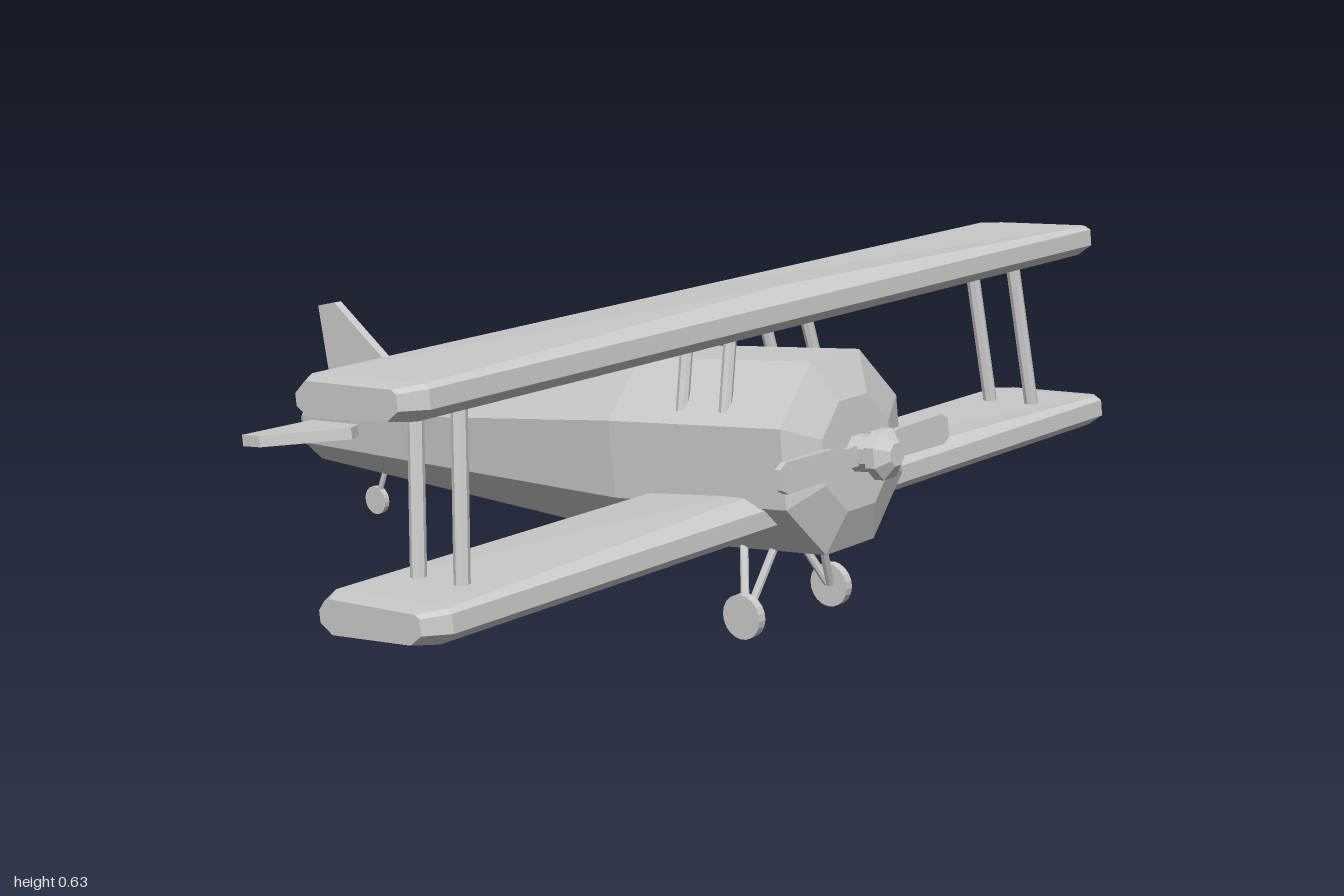
import * as THREE from 'three';

const material = new THREE.MeshStandardMaterial({
  color: 0xcccccc, flatShading: true, side: THREE.DoubleSide,
});

function add(parent, name, geometry, x = 0, y = 0, z = 0) {
  const mesh = new THREE.Mesh(geometry, material);
  mesh.name = name;
  mesh.position.set(x, y, z);
  parent.add(mesh);
  return mesh;
}

// Straight round bar between two points
function bar(parent, name, from, to, radius) {
  const a = new THREE.Vector3(...from), b = new THREE.Vector3(...to);
  const dir = b.clone().sub(a);
  const mesh = add(parent, name, new THREE.CylinderGeometry(radius, radius, dir.length(), 8));
  mesh.position.copy(a).add(b).multiplyScalar(0.5);
  mesh.quaternion.setFromUnitVectors(new THREE.Vector3(0, 1, 0), dir.normalize());
  return mesh;
}

// Eight-sided turned body along z; profile gives [flat half-width, z] from back to front
function octagonBody(profile) {
  const k = 1 / Math.cos(Math.PI / 8);
  const points = profile.map(([r, z]) => new THREE.Vector2(r * k, z));
  return new THREE.LatheGeometry(points, 8, Math.PI / 8).rotateX(Math.PI / 2);
}

// Flat plate from an outline, centred on its thickness
function plate(outline, thickness) {
  const shape = new THREE.Shape(outline.map(([x, y]) => new THREE.Vector2(x, y)));
  return new THREE.ExtrudeGeometry(shape, { depth: thickness, bevelEnabled: false })
    .translate(0, 0, -thickness / 2);
}

// Wing lofted through chamfered sections; the top front edge droops towards the tips
function wingGeometry() {
  const section = (x, droop, sz, sy) => [
    [0.1 + 0.036 * droop, 0.04 - 0.016 * droop], [0.148, 0.016], [0.148, -0.016], [0.115, -0.036],
    [-0.115, -0.036], [-0.148, -0.014], [-0.148, 0.01], [-0.115, 0.034],
  ].map(([z, y]) => [x, y * sy, z * sz]);
  const rings = [
    section(-1, 1, 0.78, 0.85), section(-0.96, 1, 1, 1), section(0, 0, 1, 1),
    section(0.96, 1, 1, 1), section(1, 1, 0.78, 0.85),
  ];
  const n = rings[0].length, index = [];
  for (let i = 0; i < rings.length - 1; i++) {
    for (let j = 0; j < n; j++) {
      const a = i * n + j, b = i * n + (j + 1) % n;
      index.push(a, b, b + n, a, b + n, a + n);
    }
  }
  const last = (rings.length - 1) * n;
  for (let j = 1; j < n - 1; j++) {
    index.push(0, j + 1, j, last, last + j, last + j + 1);
  }
  const geometry = new THREE.BufferGeometry();
  geometry.setAttribute('position', new THREE.Float32BufferAttribute(rings.flat(2), 3));
  geometry.setIndex(index);
  geometry.computeVertexNormals();
  return geometry;
}

export function createModel() {
  const model = new THREE.Group();
  model.name = 'biplane';

  // Everything but the landing gear sits in a nose-up frame
  const airframe = new THREE.Group();
  airframe.name = 'airframe';
  airframe.position.set(0, 0.345, 0.64);
  airframe.rotation.x = -0.124;
  model.add(airframe);

  add(airframe, 'fuselage', octagonBody([
    [0, -1.4], [0.042, -1.4], [0.073, -1.36], [0.175, -0.4], [0.175, 0], [0.1, 0.033], [0, 0.033],
  ]));

  // Propeller
  add(airframe, 'propellerHub', octagonBody([
    [0, 0.02], [0.032, 0.02], [0.032, 0.075], [0.044, 0.08], [0.044, 0.1], [0.02, 0.12], [0, 0.12],
  ]));
  for (const s of [-1, 1]) {
    add(airframe, 'propellerBlade', plate([
      [0, -0.018], [s * 0.06, -0.018], [s * 0.1, -0.026], [s * 0.235, -0.028], [s * 0.253, -0.018],
      [s * 0.253, 0.018], [s * 0.235, 0.028], [s * 0.1, 0.026], [s * 0.06, 0.018], [0, 0.018],
    ], 0.012), 0, 0, 0.05);
  }

  // Wings
  const wing = wingGeometry();
  add(airframe, 'upperWing', wing, 0, 0.262, -0.2);
  add(airframe, 'lowerWing', wing, 0, -0.093, -0.2);

  // Wing struts
  for (const s of [-1, 1]) {
    for (const z of [-0.145, -0.245]) {
      bar(airframe, 'wingStrut', [s * 0.805, 0.24, z], [s * 0.842, -0.075, z], 0.014);
      bar(airframe, 'centreStrut', [s * 0.108, 0.24, z], [s * 0.145, 0.09, z], 0.012);
    }
  }

  // Horizontal tail surfaces
  for (const s of [-1, 1]) {
    const tail = plate([
      [s * 0.04, -1.165], [s * 0.096, -1.165], [s * 0.13, -1.15],
      [s * 0.253, -1.295], [s * 0.253, -1.348], [s * 0.04, -1.325],
    ], 0.024);
    add(airframe, 'tailplane', tail.rotateX(Math.PI / 2), 0, 0.008, 0);
  }

  // Upright fin, outline in z and y
  add(model, 'tailFin', plate([
    [0.508, 0.29], [0.512, 0.332], [0.675, 0.443], [0.724, 0.43], [0.687, 0.25],
  ], 0.02).rotateY(Math.PI / 2));

  // Main landing gear
  for (const s of [-1, 1]) {
    add(model, 'mainWheel', new THREE.CylinderGeometry(0.042, 0.042, 0.018, 20).rotateZ(Math.PI / 2),
      s * 0.132, 0.042, 0.525);
    bar(model, 'gearLeg', [s * 0.06, 0.18, 0.545], [s * 0.125, 0.045, 0.528], 0.008);
    bar(model, 'gearLeg', [s * 0.06, 0.18, 0.465], [s * 0.125, 0.045, 0.522], 0.008);
  }

  // Tail wheel
  add(model, 'tailWheel', new THREE.CylinderGeometry(0.03, 0.03, 0.012, 20).rotateZ(Math.PI / 2),
    0, 0.032, -0.565);
  bar(model, 'tailWheelLeg', [0, 0.13, -0.528], [0, 0.035, -0.563], 0.006);

  return model;
}
